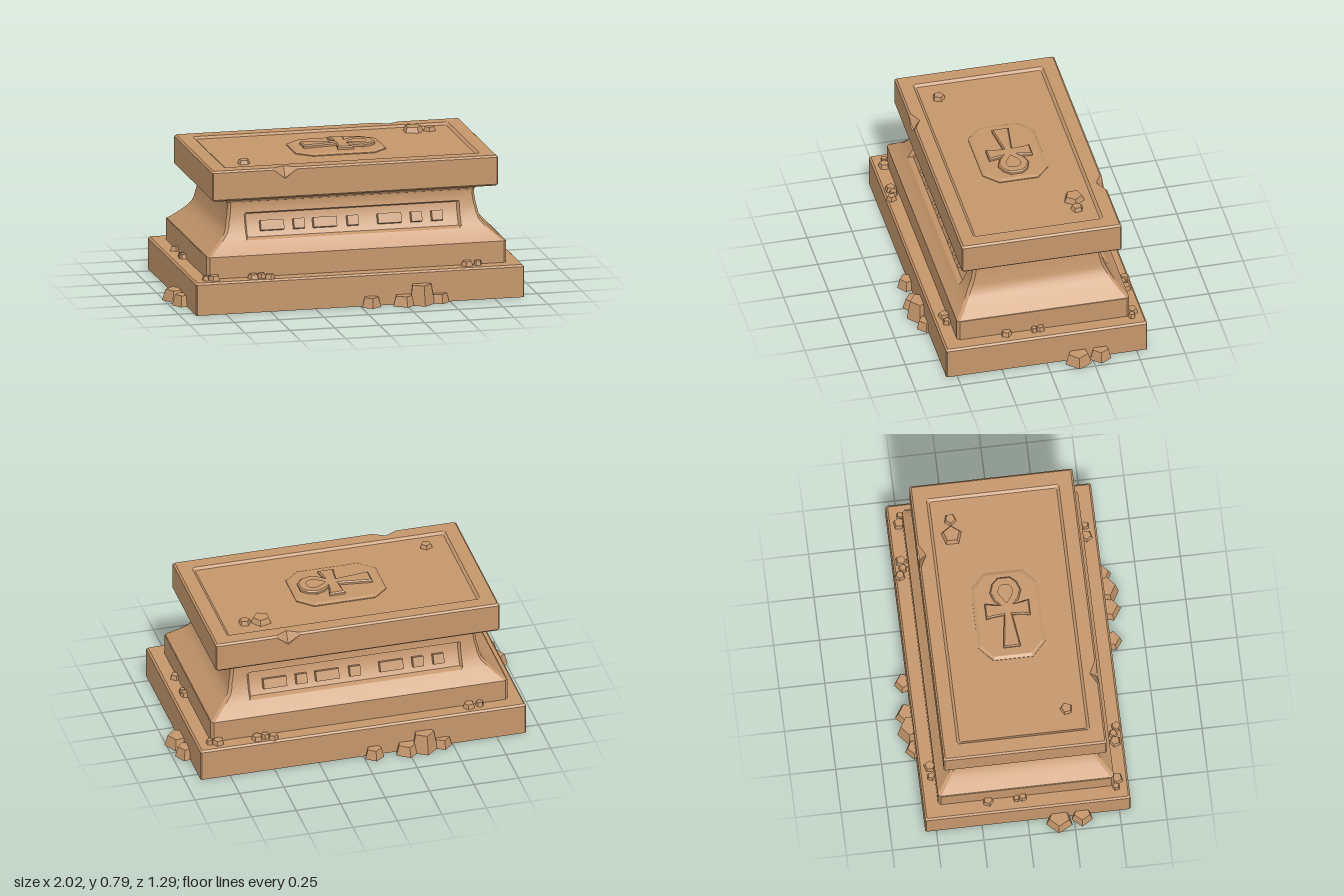
import * as THREE from 'three';
import { toCreasedNormals } from 'three/addons/utils/BufferGeometryUtils.js';

// Chamfered rectangle outline; xs adds extra points along the front (and, turned, the back)
function outline(a, b, c, xs) {
  const half = [[-a + c, b], ...xs.map(x => [x, b]), [a - c, b], [a, b - c], [a, -b + c]];
  return [...half, ...half.map(([x, z]) => [-x, -z])];
}

// Closed loft through rectangular rings [halfX, halfZ, y]; tweak(point, index in half, ring, side) may move points
function loft(rings, { chamfer = 0.01, xs = [], tweak = null, notch = -1 } = {}) {
  const half = xs.length + 4, n = half * 2;
  const loops = rings.map(([a, b, y], r) => outline(a, b, chamfer, xs).map(([x, z], i) => {
    const p = [x, y, z];
    if (tweak) tweak(p, i % half, r, i < half ? 1 : -1);
    return p;
  }));
  const pos = [];
  const tri = (...pts) => pts.forEach(p => pos.push(...p));
  for (let r = 0; r < loops.length - 1; r++) {
    for (let i = 0; i < n; i++) {
      const j = (i + 1) % n;
      const a = loops[r][i], b = loops[r][j], c = loops[r + 1][j], d = loops[r + 1][i];
      if (i % half === notch) { tri(a, b, d); tri(b, c, d); }
      else { tri(a, b, c); tri(a, c, d); }
    }
  }
  const last = loops.length - 1;
  for (let i = 0; i < n; i++) {
    const j = (i + 1) % n;
    tri(loops[last][i], loops[last][j], [0, rings[last][2], 0]);
    tri(loops[0][j], loops[0][i], [0, rings[0][2], 0]);
  }
  const g = new THREE.BufferGeometry();
  g.setAttribute('position', new THREE.Float32BufferAttribute(pos, 3));
  return toCreasedNormals(g, 0.45);
}

export function createModel() {
  const model = new THREE.Group();
  const stone = new THREE.MeshStandardMaterial({ color: 0xc4966b });
  stone.name = 'sandstone';
  const add = (geometry, name, parent = model) => {
    const m = new THREE.Mesh(geometry, stone);
    m.name = name;
    parent.add(m);
    return m;
  };

  // Base slab and plinth
  add(loft([[0.915, 0.56, 0], [0.915, 0.56, 0.17], [0.905, 0.55, 0.18]], { chamfer: 0.006 }), 'baseSlab');
  add(loft([[0.835, 0.48, 0.17], [0.835, 0.48, 0.3]], { chamfer: 0.015 }), 'plinth');

  // Flared body with a sunken panel on front and back
  const bodyRings = [
    [0.83, 0.48, 0.3], [0.795, 0.45, 0.33], [0.76, 0.425, 0.36], [0.75, 0.417, 0.37], [0.74, 0.41, 0.38],
    [0.715, 0.392, 0.41], [0.705, 0.378, 0.44], [0.7, 0.367, 0.47], [0.693, 0.36, 0.5], [0.692, 0.358, 0.51],
    [0.687, 0.35, 0.55], [0.69, 0.352, 0.57], [0.705, 0.362, 0.582], [0.705, 0.362, 0.605],
  ];
  add(loft(bodyRings, {
    chamfer: 0.015,
    xs: [-0.6, -0.588, 0.588, 0.6],
    tweak: (p, i, r, side) => {
      if ((i === 2 || i === 3) && r >= 4 && r <= 8) p[2] -= side * 0.02;
    },
  }), 'body');

  // Top slab with chipped edges and a sunken top panel
  add(loft([
    [0.787, 0.435, 0.6], [0.797, 0.445, 0.61], [0.797, 0.445, 0.76], [0.787, 0.435, 0.77],
    [0.75, 0.4, 0.77], [0.712, 0.362, 0.77], [0.697, 0.347, 0.758],
  ], {
    chamfer: 0.006,
    xs: [-0.455, -0.39, -0.325],
    notch: 2,
    tweak: (p, i, r) => { if (i === 2 && (r === 2 || r === 3)) p[1] = 0.71; },
  }), 'topSlab');

  // Octagonal medallion
  const octagon = new THREE.Shape([
    [-0.235, -0.1], [-0.165, -0.165], [0.165, -0.165], [0.235, -0.1],
    [0.235, 0.1], [0.165, 0.165], [-0.165, 0.165], [-0.235, 0.1],
  ].map(([x, y]) => new THREE.Vector2(x, y)));
  const medallion = add(new THREE.ExtrudeGeometry(octagon, {
    depth: 0.008, bevelEnabled: true, bevelThickness: 0.008, bevelSize: 0.018, bevelSegments: 1,
  }), 'medallion');
  medallion.rotation.x = -Math.PI / 2;
  medallion.position.y = 0.755;

  // Looped cross relief
  const side = [
    [-0.185, 0.04], [0.0, 0.016], [-0.005, 0.085], [-0.012, 0.115], [0.062, 0.115], [0.055, 0.085],
    [0.048, 0.03], [0.085, 0.062], [0.13, 0.078], [0.175, 0.062], [0.203, 0.03],
  ];
  const cross = new THREE.Shape([...side, ...side.map(([x, y]) => [x, -y]).reverse()]
    .map(([x, y]) => new THREE.Vector2(x, y)));
  const eye = new THREE.Path();
  eye.moveTo(0.06, 0);
  eye.bezierCurveTo(0.1, 0.03, 0.115, 0.04, 0.13, 0.04);
  eye.bezierCurveTo(0.18, 0.04, 0.18, -0.04, 0.13, -0.04);
  eye.bezierCurveTo(0.115, -0.04, 0.1, -0.03, 0.06, 0);
  cross.holes.push(eye);
  const relief = add(new THREE.ExtrudeGeometry(cross, {
    depth: 0.02, bevelEnabled: true, bevelThickness: 0.007, bevelSize: 0.007, bevelSegments: 1, curveSegments: 5,
  }), 'crossRelief');
  relief.rotation.x = -Math.PI / 2;
  relief.position.y = 0.762;

  // Five-sided stone chip
  const chip = (parent, name, x, y, z, r, h, turn) => {
    const g = new THREE.CylinderGeometry(r * 0.75, r, h, 5).toNonIndexed();
    g.computeVertexNormals();
    const m = add(g, name, parent);
    m.position.set(x, y + h / 2, z);
    m.rotation.y = turn;
  };

  // Details repeated on opposite sides by a half turn
  const glyphs = [[-0.45, 0.13], [-0.3, 0.06], [-0.155, 0.13], [0, 0.06], [0.205, 0.13], [0.355, 0.06], [0.47, 0.06]];
  const rubble = [
    [0.055, 0.575, 0.055, 0.055], [0.24, 0.575, 0.07, 0.055], [0.335, 0.57, 0.075, 0.11], [0.44, 0.56, 0.055, 0.05],
    [0.935, -0.17, 0.075, 0.06], [0.925, -0.295, 0.06, 0.06],
  ];
  const pebbles = [
    [0.845, 0.02, 0.025], [0.85, 0.055, 0.02], [0.845, 0.21, 0.032], [0.8, -0.5, 0.035], [0.845, -0.49, 0.022],
    [0.5, -0.53, 0.03], [0.54, -0.51, 0.026], [0.585, -0.515, 0.034], [0.61, 0.5, 0.035], [0.67, 0.5, 0.024],
  ];
  for (let k = 0; k < 2; k++) {
    const half = new THREE.Group();
    half.name = k ? 'backDetails' : 'frontDetails';
    half.rotation.y = k * Math.PI;
    for (const [x, w] of glyphs) {
      const m = add(new THREE.BoxGeometry(w, 0.055, 0.05), 'panelBlock', half);
      m.position.set(x, 0.435, 0.37);
      m.rotation.x = -0.38;
    }
    rubble.forEach(([x, z, r, h], i) => chip(half, 'rubble', x, 0, z, r, h, i * 1.3));
    pebbles.forEach(([x, z, r], i) => chip(half, 'pebble', x, 0.178, z, r, 0.027, i * 0.9));
    model.add(half);
  }

  // Loose stones on the top
  chip(model, 'topStone', 0.49, 0.755, -0.25, 0.06, 0.033, 0.3);
  chip(model, 'topStone', 0.582, 0.755, -0.247, 0.036, 0.026, 1.0);
  chip(model, 'topStone', -0.575, 0.755, 0.25, 0.037, 0.026, 0.5);

  return model;
}
